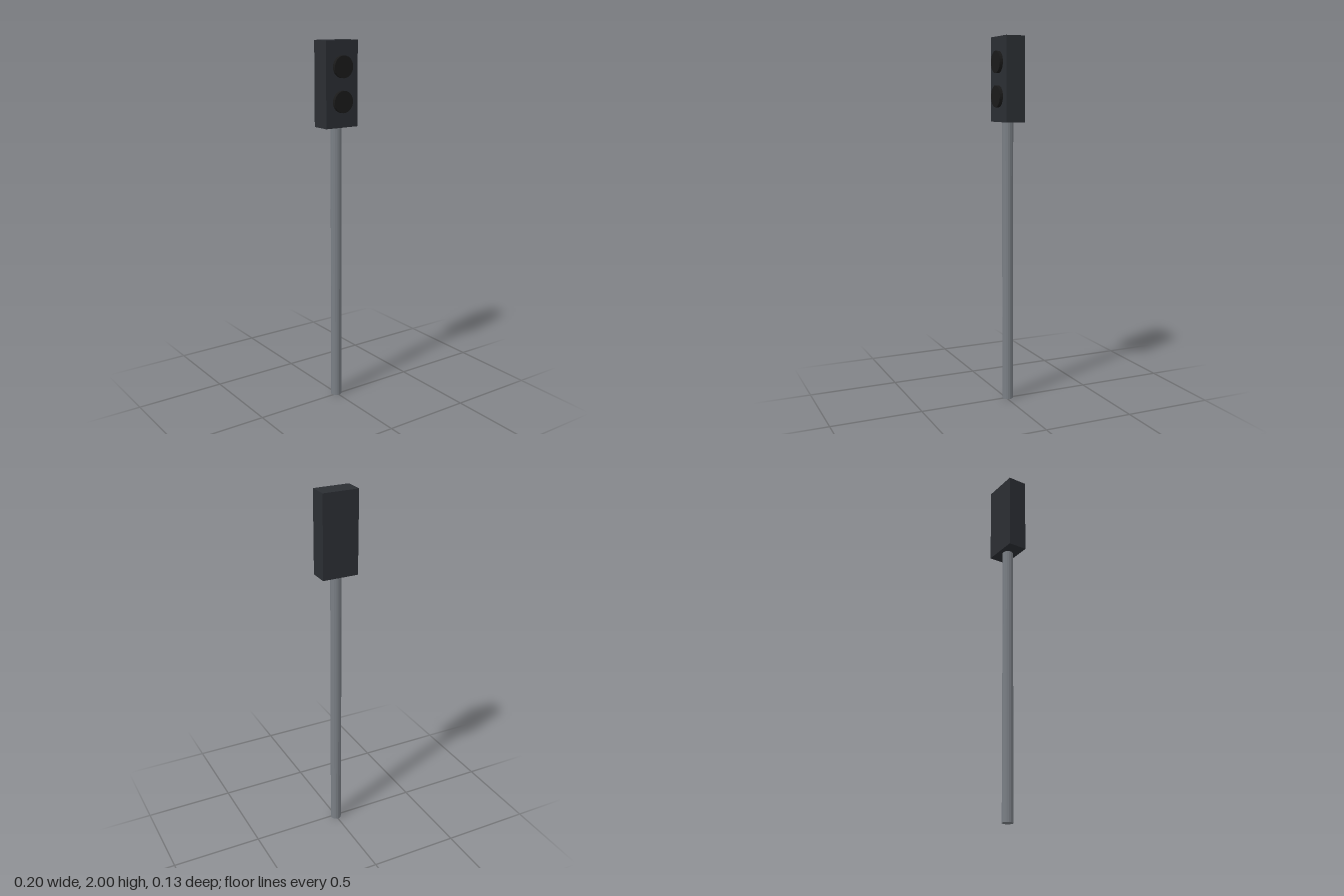
import * as THREE from 'three';

export function createModel() {
  const model = new THREE.Group();
  model.name = 'signalPost';

  const add = (name, geometry, color, x, y, z) => {
    const material = new THREE.MeshStandardMaterial({ color, flatShading: true });
    const mesh = new THREE.Mesh(geometry, material);
    mesh.name = name;
    mesh.position.set(x, y, z);
    model.add(mesh);
    return mesh;
  };

  const axisZ = -0.01; // pole and housing share this centre line
  const housingBottom = 1.55;
  const housingDepth = 0.108;
  const housingFront = axisZ + housingDepth / 2;

  // Round pole
  add('pole', new THREE.CylinderGeometry(0.03, 0.03, housingBottom, 16), 0x7a7f85, 0, housingBottom / 2, axisZ);

  // Signal head
  add('housing', new THREE.BoxGeometry(0.2, 2 - housingBottom, housingDepth), 0x2b2e33, 0, (2 + housingBottom) / 2, axisZ);

  // Two dark lenses standing proud of the front
  const lensDepth = 0.018;
  const lens = new THREE.CylinderGeometry(0.058, 0.058, lensDepth, 24).rotateX(Math.PI / 2);
  [['upperLens', 1.866], ['lowerLens', 1.686]].forEach(([name, y]) =>
    add(name, lens, 0x1a1a1a, 0, y, housingFront + lensDepth / 2));

  return model;
}
